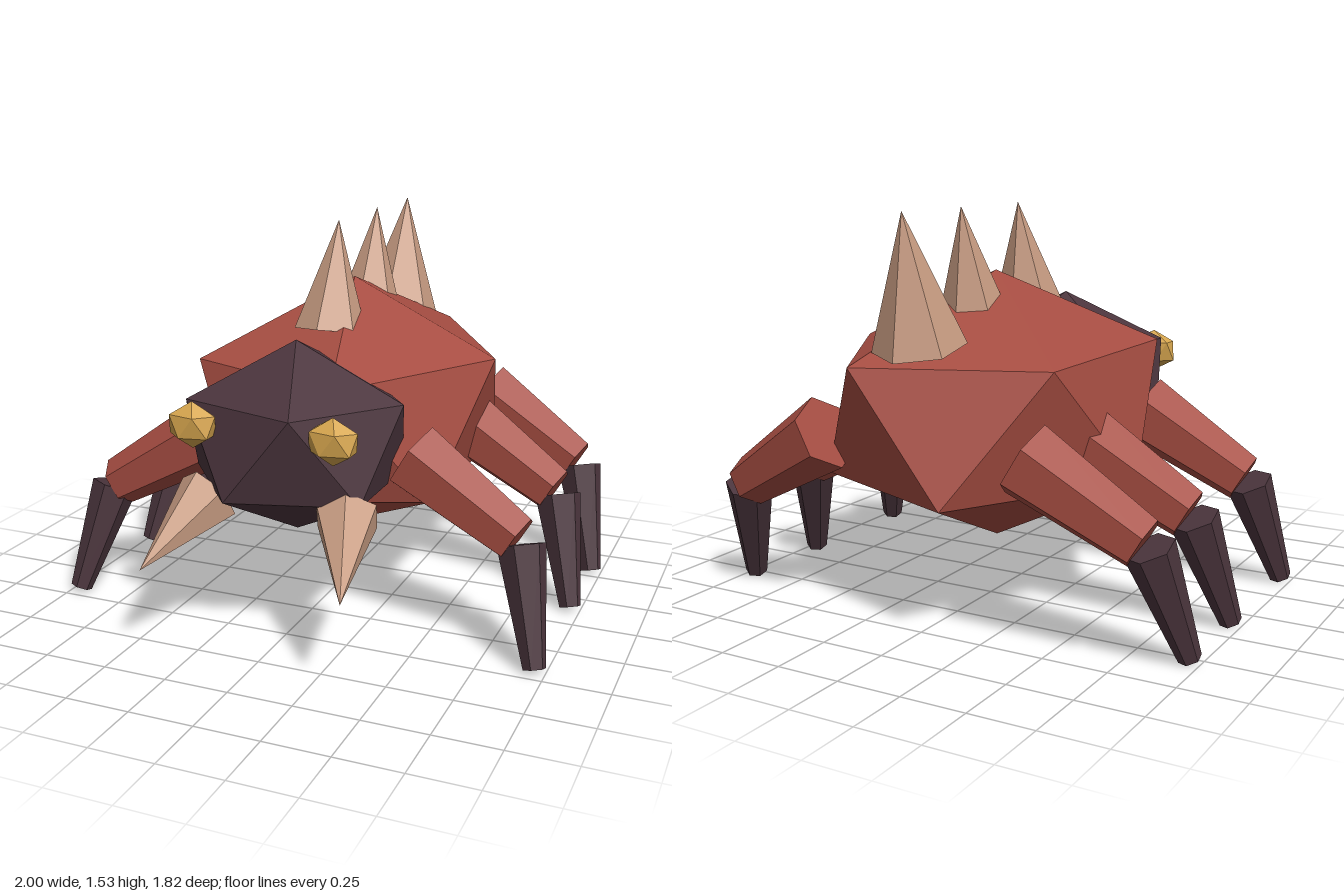
import * as THREE from 'three';
import { ConvexGeometry } from 'three/addons/geometries/ConvexGeometry.js';

const flat = (name, color) => {
  const m = new THREE.MeshStandardMaterial({ color, flatShading: true });
  m.name = name;
  return m;
};
const V = (x, y, z) => new THREE.Vector3(x, y, z);

// Icosahedron with a vertex straight up and a vertex of the upper ring toward +x
function icoGeometry() {
  const pts = [V(0, 1, 0), V(0, -1, 0)];
  const h = 1 / Math.sqrt(5), r = 2 * h;
  for (let i = 0; i < 5; i++) {
    const a = (i * 2 * Math.PI) / 5;
    pts.push(V(r * Math.cos(a), h, r * Math.sin(a)));
    pts.push(V(-r * Math.cos(a), -h, -r * Math.sin(a)));
  }
  return new ConvexGeometry(pts);
}

export function createModel() {
  const group = new THREE.Group();
  const shell = flat('red shell', 0xa64d42);
  const plum = flat('dark plum', 0x4b353d);
  const bone = flat('bone', 0xc99d83);
  const gold = flat('gold', 0xd6a54e);

  const add = (name, geo, mat, parent = group) => {
    const mesh = new THREE.Mesh(geo, mat);
    mesh.name = name;
    parent.add(mesh);
    return mesh;
  };
  const ico = icoGeometry();
  const blob = (name, mat, pos, radii) => {
    const mesh = add(name, ico, mat);
    mesh.position.set(...pos);
    mesh.scale.set(...radii);
  };
  // Six-sided tapered rod from a to b, one corner turned toward ref
  const rod = (name, mat, a, b, ra, rb, ref, parent) => {
    const dir = b.clone().sub(a);
    const mesh = add(name, new THREE.CylinderGeometry(rb, ra, dir.length(), 6), mat, parent);
    const y = dir.clone().normalize();
    const x = y.clone().cross(ref).normalize();
    const z = x.clone().cross(y);
    mesh.quaternion.setFromRotationMatrix(new THREE.Matrix4().makeBasis(x, y, z));
    mesh.position.copy(a).add(b).multiplyScalar(0.5);
  };
  const up = V(0, 1, 0), front = V(0, 0, 1);

  // Body and head
  blob('body', shell, [0, 0.755, -0.2], [0.67, 0.525, 0.835]);
  blob('head', plum, [0, 0.77, 0.385], [0.475, 0.37, 0.43]);

  // Back spikes, leaning backward: apex z, length, base radius
  const lean = 0.2;
  for (const [z, len, r] of [[-0.03, 0.43, 0.142], [-0.45, 0.38, 0.12], [-0.83, 0.49, 0.17]]) {
    const apex = V(0, 1.53, z);
    const base = V(0, 1.53 - len * Math.cos(lean), z + len * Math.sin(lean));
    rod('backSpike', bone, base, apex, r, 0, front);
  }

  for (const [s, side] of [[1, 'left'], [-1, 'right']]) {
    // Eyes and fangs
    blob(side + 'Eye', gold, [s * 0.275, 0.867, 0.693], [0.104, 0.088, 0.067]);
    rod(side + 'Fang', bone, V(s * 0.28, 0.555, 0.575), V(s * 0.39, 0.365, 0.91), 0.125, 0, up);

    // Three identical legs along each flank
    [0, -0.58, -0.98].forEach((dz, i) => {
      const leg = new THREE.Group();
      leg.name = side + ['Front', 'Middle', 'Rear'][i] + 'Leg';
      leg.position.z = dz;
      group.add(leg);
      rod('upperLeg', shell, V(s * 0.42, 0.7, 0.25), V(s * 0.84, 0.45, 0.3), 0.145, 0.1, up, leg);
      rod('lowerLeg', plum, V(s * 0.86, 0.435, 0.31), V(s * 0.96, 0.018, 0.447), 0.093, 0.043, front, leg);
    });
  }
  return group;
}
